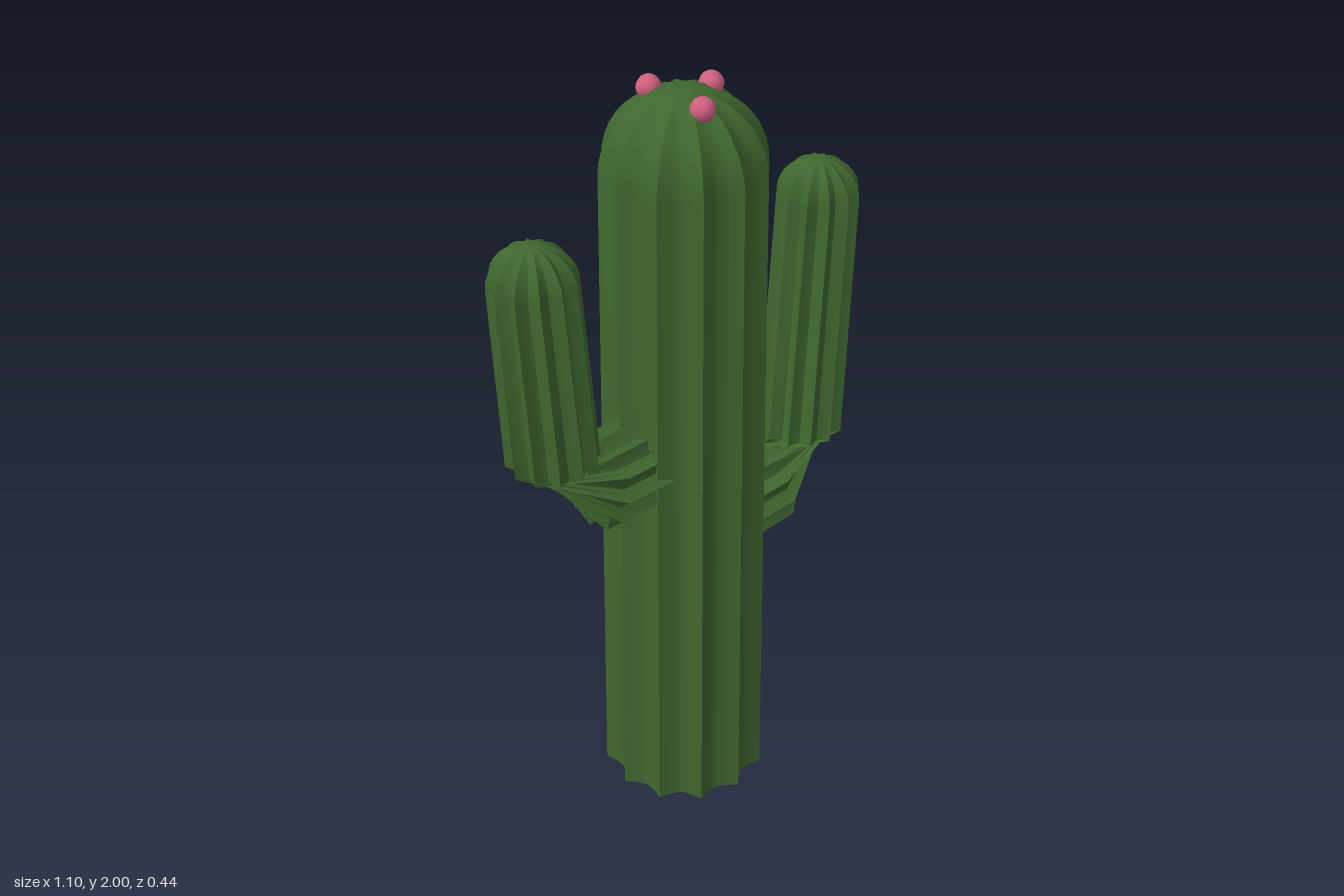
import * as THREE from 'three';
import { toCreasedNormals } from 'three/addons/utils/BufferGeometryUtils.js';

const RIBS = 12;
const STEPS = 4; // facets per rib
const N = RIBS * STEPS;

// Skin a fluted tube over rings {c: centre, p, q: ring axes, r: radius}; both ends are closed.
function flutedTube(rings, depth, flip = false) {
  const pos = [];
  const index = [];
  const tri = (a, b, c) => (flip ? index.push(a, c, b) : index.push(a, b, c));
  for (const { c, p, q, r } of rings) {
    for (let i = 0; i < N; i++) {
      const a = (i / N) * Math.PI * 2;
      const k = r * (1 - depth * Math.abs(Math.sin((a * RIBS) / 2)));
      for (let d = 0; d < 3; d++) pos.push(c[d] + k * (Math.cos(a) * p[d] + Math.sin(a) * q[d]));
    }
  }
  for (let j = 0; j < rings.length - 1; j++) {
    for (let i = 0; i < N; i++) {
      const a = j * N + i;
      const b = j * N + ((i + 1) % N);
      tri(a, a + N, b);
      tri(b, a + N, b + N);
    }
  }
  const last = rings.length - 1;
  const start = pos.length / 3;
  pos.push(...rings[0].c, ...rings[last].c);
  for (let i = 0; i < N; i++) {
    const n = (i + 1) % N;
    tri(start, i, n);
    tri(start + 1, last * N + n, last * N + i);
  }
  const g = new THREE.BufferGeometry();
  g.setAttribute('position', new THREE.Float32BufferAttribute(pos, 3));
  g.setIndex(index);
  return toCreasedNormals(g, 0.6);
}

// Rings that round off the top of a stem
function dome(x, y, r, height, p, q, steps = 8) {
  const rings = [];
  for (let i = 0; i <= steps; i++) {
    const a = (i / steps) * Math.PI * 0.5;
    rings.push({ c: [x, y + height * Math.sin(a), 0], p, q, r: Math.max(r * Math.cos(a), 0.002) });
  }
  return rings;
}

export function createModel() {
  const model = new THREE.Group();
  const green = new THREE.MeshStandardMaterial({ color: 0x3f672f });
  green.name = 'cactus green';
  const pink = new THREE.MeshStandardMaterial({ color: 0xd0607f });
  pink.name = 'flower pink';

  const add = (name, geometry, material) => {
    const mesh = new THREE.Mesh(geometry, material);
    mesh.name = name;
    model.add(mesh);
    return mesh;
  };

  // Trunk
  const X = [1, 0, 0];
  const Z = [0, 0, 1];
  add('trunk', flutedTube([
    { c: [0, 0, 0], p: X, q: Z, r: 0.22 },
    ...dome(0, 1.79, 0.2, 0.2, X, Z, 10),
  ], 0.14), green);

  // Arms: a level stub, a twisted elbow and an upright stem
  const arm = (name, s, y, tipY) => {
    const out = [s, 0, 0];
    add(name, flutedTube([
      { c: [s * 0.1, y, 0], p: Z, q: [0, 1, 0], r: 0.12 },
      { c: [s * 0.285, y + 0.005, 0], p: Z, q: [-s * 0.22, 0.97, 0], r: 0.12 },
      { c: [s * 0.415, y + 0.13, 0], p: out, q: Z, r: 0.113 },
      ...dome(s * 0.447, tipY - 0.1, 0.105, 0.1, out, Z),
    ], 0.2, s < 0), green);
  };
  arm('leftArm', 1, 0.77, 1.67);
  arm('rightArm', -1, 1.045, 1.76);

  // Flower buds on the crown
  const bud = new THREE.SphereGeometry(0.03, 10, 8);
  for (const [x, z] of [[0.087, -0.005], [-0.03, -0.085], [-0.023, 0.085]]) {
    add('flowerBud', bud, pink).position.set(x, 1.97, z);
  }
  return model;
}
